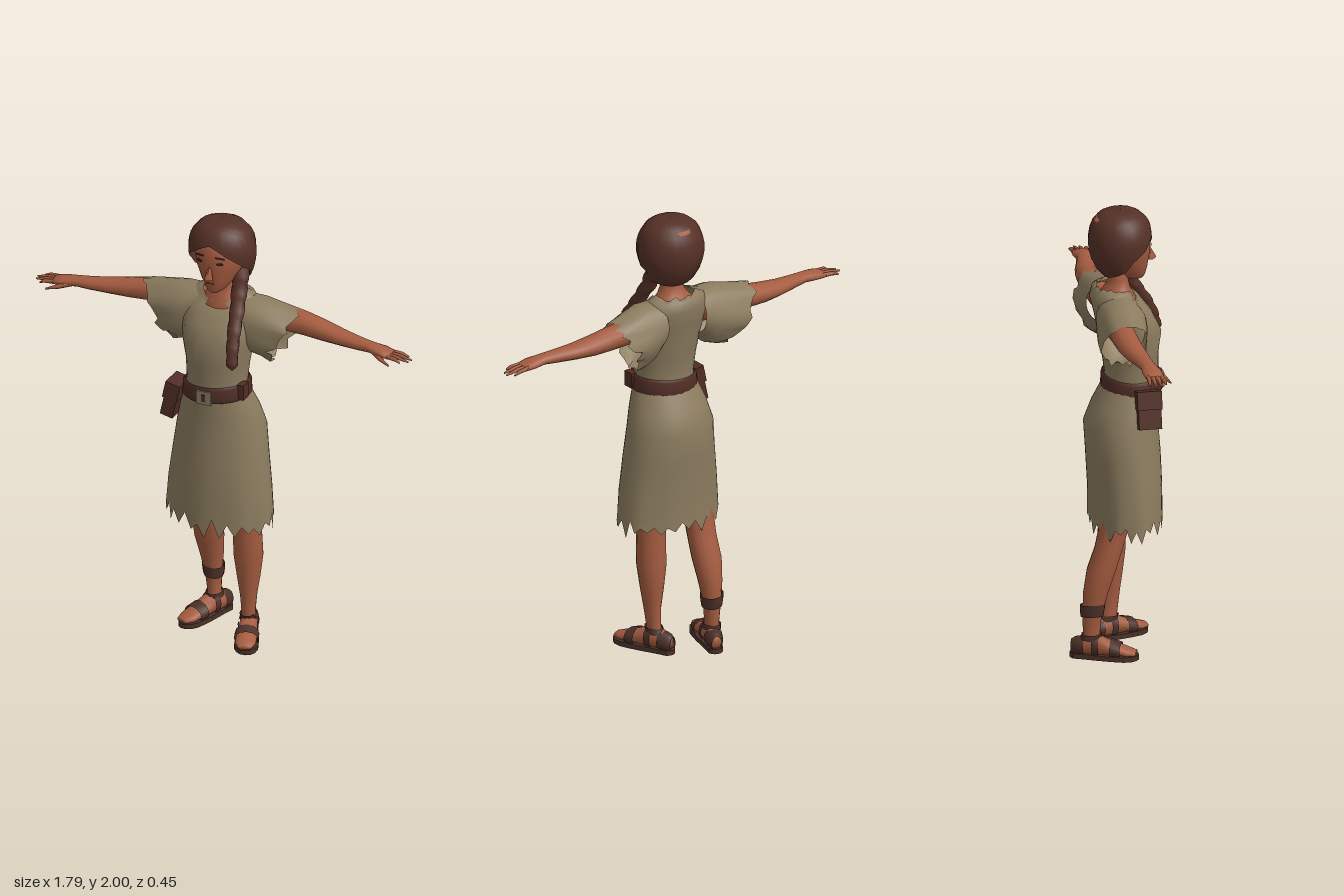
import * as THREE from 'three';

const mat = (name, color, side = THREE.FrontSide) => {
  const m = new THREE.MeshStandardMaterial({ color, side });
  m.name = name;
  return m;
};
const skin = mat('skin', 0xa55c40);
const cloth = mat('cloth', 0x8c7c5f, THREE.DoubleSide);
const hair = mat('hair', 0x553026, THREE.DoubleSide);
const leather = mat('leather', 0x512d25, THREE.DoubleSide);
const sandal = mat('sandal leather', 0x4b3029, THREE.DoubleSide);
const metal = mat('buckle metal', 0x857a66);
const dark = mat('eye dark', 0x35201a);
const lip = mat('lip', 0x85432f);

// Repeatable ragged-edge noise in -1..1
const rag = (j, k = 0) => {
  const s = Math.sin(j * 12.9898 + k * 78.233) * 43758.5453;
  return (s - Math.floor(s)) * 2 - 1;
};

// Skin a series of elliptical rings [x, y, z, ra, rb] stacked along an axis (0 x, 1 y, 2 z).
// ra and rb follow the next two axes in cyclic order; tweak moves single points.
function loft(rows, axis, { n = 14, cap = true, tweak } = {}) {
  const u = (axis + 1) % 3, v = (axis + 2) % 3, pos = [], idx = [];
  rows.forEach((r, i) => {
    for (let j = 0; j < n; j++) {
      const a = (j / n) * Math.PI * 2, p = r.slice(0, 3);
      p[u] += Math.cos(a) * r[3];
      p[v] += Math.sin(a) * r[4];
      if (tweak) tweak(p, i, a, j);
      pos.push(...p);
    }
  });
  const flip = rows[rows.length - 1][axis] < rows[0][axis];
  const tri = (a, b, c) => (flip ? idx.push(a, c, b) : idx.push(a, b, c));
  for (let i = 0; i < rows.length - 1; i++) {
    for (let j = 0; j < n; j++) {
      const k = (j + 1) % n, a = i * n + j, b = i * n + k;
      tri(a, b, b + n);
      tri(a, b + n, a + n);
    }
  }
  if (cap) {
    const c = rows.length * n, top = (rows.length - 1) * n;
    pos.push(...rows[0].slice(0, 3), ...rows[rows.length - 1].slice(0, 3));
    for (let j = 0; j < n; j++) {
      const k = (j + 1) % n;
      tri(c, k, j);
      tri(c + 1, top + j, top + k);
    }
  }
  const g = new THREE.BufferGeometry();
  g.setAttribute('position', new THREE.Float32BufferAttribute(pos, 3));
  g.setIndex(idx);
  g.computeVertexNormals();
  return g;
}

function add(parent, name, geo, material, p = [0, 0, 0], r = [0, 0, 0]) {
  const m = new THREE.Mesh(geo, material);
  m.name = name;
  m.position.set(...p);
  m.rotation.set(...r);
  parent.add(m);
  return m;
}

function buildHead(g) {
  add(g, 'neckAndChest', loft([[0, 1.5, 0.01, 0.09, 0.12], [0, 1.6, 0, 0.087, 0.11], [0, 1.65, 0.005, 0.055, 0.07],
    [0, 1.69, 0.01, 0.042, 0.05], [0, 1.8, 0.015, 0.042, 0.05]], 1), skin);
  add(g, 'face', loft([[0, 1.685, 0.085, 0.03, 0.022], [0, 1.7, 0.073, 0.053, 0.042], [0, 1.74, 0.05, 0.086, 0.072],
    [0, 1.8, 0.03, 0.115, 0.102], [0, 1.86, 0.02, 0.13, 0.117], [0, 1.92, 0.015, 0.124, 0.113],
    [0, 1.97, 0, 0.09, 0.07]], 1, { n: 20 }), skin);
  add(g, 'nose', new THREE.ConeGeometry(0.022, 0.075, 4), skin, [0, 1.803, 0.147], [-0.22, 0, 0]);
  add(g, 'mouth', new THREE.CircleGeometry(0.022, 10), lip, [0, 1.742, 0.1395], [0.3, 0, 0]).scale.y = 0.35;
  for (const s of [-1, 1]) {
    add(g, 'eye', new THREE.CircleGeometry(0.017, 8), dark, [s * 0.048, 1.845, 0.143], [0, s * 0.36, 0]).scale.y = 0.45;
    add(g, 'eyebrow', new THREE.BoxGeometry(0.042, 0.006, 0.004), hair, [s * 0.048, 1.872, 0.143], [0, s * 0.36, -s * 0.15]);
  }
  // Swept hair: a cap whose lower edge rises over the forehead
  const rows = Array.from({ length: 10 }, (_, i) => [0, 2 - i * 0.01, 0, 0, 0]);
  add(g, 'hairCap', loft(rows, 1, {
    n: 28, cap: false,
    tweak: (p, i, a, j) => {
      const back = (1 - Math.cos(a)) / 2;
      const end = 1.1 + 1.65 * Math.pow(back, 0.62);
      const phi = Math.max(0.001, (i / 9) * end), r = Math.pow(Math.sin(phi), 0.65);
      const ridge = 1 + 0.012 * Math.cos(j * Math.PI) * Math.min(1, i / 3);
      p[0] = Math.sin(a) * r * 0.15 * ridge;
      p[1] = 1.86 + 0.14 * Math.cos(phi) - (back > 0.5 && i > 7 ? 0.012 * (i - 7) : 0);
      p[2] = 0.018 + Math.cos(a) * r * 0.14 * ridge;
    },
  }), hair);
  // Braid over the left shoulder, swelling at every plait
  const path = new THREE.CatmullRomCurve3([[0.085, 1.78, 0.01], [0.095, 1.7, 0.045], [0.108, 1.62, 0.095],
    [0.12, 1.54, 0.15], [0.13, 1.46, 0.187], [0.137, 1.385, 0.205]].map(q => new THREE.Vector3(...q)));
  add(g, 'braid', loft(Array.from({ length: 19 }, (_, i) => {
    const t = i / 18, r = (i === 18 ? 0.006 : 0.042 - 0.016 * t) * (i % 3 === 0 ? 0.84 : 1);
    return [...path.getPoint(t).toArray(), r, r];
  }), 1, { n: 8 }), hair);
}

function buildClothes(g) {
  // Bodice with a scooped, torn neckline
  add(g, 'bodice', loft([[0, 1.18, 0.06, 0.12, 0.142], [0, 1.26, 0.067, 0.117, 0.135], [0, 1.35, 0.06, 0.122, 0.143],
    [0, 1.45, 0.055, 0.135, 0.16], [0, 1.53, 0.03, 0.125, 0.175], [0, 1.6, -0.005, 0.108, 0.175],
    [0, 1.645, -0.012, 0.092, 0.135], [0, 1.66, -0.005, 0.078, 0.095]], 1, {
    n: 28, cap: false,
    tweak: (p, i, a, j) => {
      const front = Math.max(0, Math.cos(a));
      if (i > 5) p[1] -= 0.05 * front * front + (i === 7 ? 0.012 * rag(j) : 0);
      if (i === 3) p[2] += 0.01 * front * Math.abs(Math.sin(2 * a));
    },
  }), cloth);
  // Skirt with soft folds and a ragged hem
  add(g, 'skirt', loft([[0, 0.585, 0.04, 0.158, 0.245], [0, 0.64, 0.04, 0.157, 0.243], [0, 0.75, 0.038, 0.158, 0.235],
    [0, 0.9, 0.03, 0.16, 0.216], [0, 1.03, 0.02, 0.16, 0.2], [0, 1.12, 0.037, 0.143, 0.178],
    [0, 1.21, 0.06, 0.12, 0.145]], 1, {
    n: 44, cap: false,
    tweak: (p, i, a, j) => {
      const fold = 1 + 0.018 * Math.cos(a * 9) * Math.max(0, 1 - i / 4);
      p[0] *= fold;
      p[2] = 0.04 + (p[2] - 0.04) * fold;
      if (i === 0) p[1] += (j % 2 ? 0.025 : -0.02) + 0.025 * rag(j);
    },
  }), cloth);
  // Loose torn sleeves: long over the arm, short underneath
  for (const s of [-1, 1]) {
    const reach = s > 0 ? 0.25 : 0.28;
    const rows = [[0, 1.545, -0.01, 0.1, 0.1], [0.33, 1.515, -0.008, 0.13, 0.11],
      [0.67, 1.497, -0.017, 0.127, 0.108], [1, 1.485, -0.025, 0.118, 0.1]];
    add(g, s > 0 ? 'leftSleeve' : 'rightSleeve', loft(rows.map(r => [s * r[0], ...r.slice(1)]), 0, {
      n: 30, cap: false,
      tweak: (p, i, a, j) => {
        const up = (1 + Math.cos(a)) / 2;
        const out = Math.abs(p[0]) * reach * (0.5 + 0.5 * up);
        p[0] = s * (0.1 + out + (i === 3 ? 0.024 * rag(j, s) : 0));
        if (i === 3) p[1] += (1 - up) * 0.025 * rag(j, 3 + s);
        p[2] += 0.006 * Math.cos(a * 6) * i / 3;
      },
    }), cloth);
  }
  // Belt, buckle and hip pouch
  const tilt = p => { p[1] += 0.09 * p[0]; };
  add(g, 'belt', loft([[0, 1.185, 0.067, 0.125, 0.145], [0, 1.195, 0.067, 0.134, 0.155], [0, 1.25, 0.068, 0.132, 0.152],
    [0, 1.26, 0.068, 0.122, 0.14]], 1, { n: 24, cap: false, tweak: tilt }), leather);
  add(g, 'beltEnd', new THREE.BoxGeometry(0.03, 0.07, 0.05), leather, [0.142, 1.242, 0.11]);
  add(g, 'buckle', new THREE.BoxGeometry(0.07, 0.062, 0.012), metal, [0, 1.217, 0.2]);
  add(g, 'beltTongue', new THREE.BoxGeometry(0.018, 0.034, 0.006), leather, [0, 1.217, 0.206]);
  add(g, 'pouch', new THREE.BoxGeometry(0.06, 0.16, 0.1), leather, [-0.186, 1.14, 0.105], [0, 0, -0.22]);
  add(g, 'pouchFlap', new THREE.BoxGeometry(0.07, 0.08, 0.108), leather, [-0.178, 1.185, 0.105], [0, 0, -0.22]);
}

function buildArm(g, s) {
  const side = q => [s * q[0], ...q.slice(1)];
  const arm = new THREE.Group();
  arm.name = s > 0 ? 'leftArm' : 'rightArm';
  g.add(arm);
  add(arm, 'armAndPalm', loft([[0.12, 1.56, -0.03, 0.06, 0.065], [0.25, 1.557, -0.04, 0.054, 0.058],
    [0.37, 1.55, -0.04, 0.051, 0.054], [0.46, 1.54, -0.034, 0.044, 0.052], [0.55, 1.533, -0.022, 0.034, 0.047],
    [0.64, 1.53, -0.008, 0.028, 0.036], [0.7, 1.53, 0, 0.023, 0.033], [0.76, 1.524, 0.005, 0.021, 0.043],
    [0.805, 1.518, 0.007, 0.014, 0.04]].map(side), 0, { n: 12 }), skin);
  // Four fingers fanned across the palm, then the thumb
  [0.87, 0.895, 0.89, 0.86].forEach((tip, i) => {
    const z = -0.021 + i * 0.0185;
    add(arm, 'finger', loft([[0.79, 1.52, z, 0.011, 0.0105], [0.84, 1.517, z * 1.15, 0.01, 0.009],
      [tip, 1.508, z * 1.3, 0.004, 0.004]].map(side), 0, { n: 6 }), skin);
  });
  add(arm, 'thumb', loft([[0.72, 1.522, 0.02, 0.014, 0.014], [0.77, 1.51, 0.05, 0.012, 0.011],
    [0.82, 1.498, 0.072, 0.004, 0.004]].map(side), 0, { n: 6 }), skin);
}

function buildLeg(g, s) {
  const leg = new THREE.Group();
  leg.name = s > 0 ? 'leftLeg' : 'rightLeg';
  g.add(leg);
  // The right leg trails behind
  const zs = s > 0 ? [-0.02, -0.01, -0.005, -0.003, 0, 0.005, 0.007, 0.02, 0.03]
    : [-0.13, -0.13, -0.128, -0.113, -0.088, -0.055, -0.03, 0.01, 0.03];
  const shape = [[0.108, 0.05, 0.04, 0.033], [0.111, 0.12, 0.038, 0.029], [0.114, 0.2, 0.043, 0.036],
    [0.115, 0.3, 0.055, 0.052], [0.115, 0.4, 0.064, 0.066], [0.113, 0.5, 0.062, 0.065],
    [0.112, 0.6, 0.066, 0.067], [0.11, 0.8, 0.08, 0.085], [0.09, 1.0, 0.09, 0.088]];
  add(leg, 'shinAndThigh', loft(shape.map(([x, y, rz, rx], i) => [s * x, y, zs[i], rz, rx]), 1), skin);

  // Splayed foot in a sandal
  const foot = new THREE.Group();
  foot.name = 'sandalledFoot';
  foot.position.set(s * 0.108, 0, zs[0]);
  foot.rotation.y = s * 0.36;
  leg.add(foot);
  const rows = [[0, 0.045, -0.078, 0.024, 0.03], [0, 0.058, -0.035, 0.036, 0.045], [0, 0.06, 0.03, 0.039, 0.048],
    [0, 0.045, 0.1, 0.045, 0.03], [0, 0.034, 0.16, 0.045, 0.019], [0, 0.03, 0.195, 0.03, 0.011]];
  add(foot, 'foot', loft(rows, 2, { n: 12 }), skin);
  const outline = new THREE.Shape();
  outline.moveTo(-0.032, 0.075);
  outline.quadraticCurveTo(0, 0.115, 0.032, 0.075);
  outline.bezierCurveTo(0.036, 0, 0.054, -0.06, 0.053, -0.15);
  outline.bezierCurveTo(0.045, -0.225, -0.035, -0.225, -0.05, -0.15);
  outline.bezierCurveTo(-0.052, -0.06, -0.036, 0, -0.032, 0.075);
  add(foot, 'sole', new THREE.ExtrudeGeometry(outline, { depth: 0.022, bevelEnabled: false, curveSegments: 6 }),
    sandal, [0, 0, 0], [-Math.PI / 2, 0, 0]);
  const band = (name, r) => add(foot, name, loft(r, 2, { n: 12, cap: false }), sandal);
  band('toeStrap', [[0, 0.045, 0.085, 0.053, 0.042], [0, 0.04, 0.13, 0.053, 0.033]]);
  band('instepStrap', [[0, 0.06, 0.005, 0.045, 0.056], [0, 0.058, 0.035, 0.046, 0.053]]);
  band('heelCup', [[0, 0.045, -0.088, 0.022, 0.034], [0, 0.05, -0.07, 0.034, 0.042], [0, 0.055, -0.03, 0.043, 0.044]]);
  add(leg, 'ankleStrap', loft([[s * 0.11, 0.085, zs[0], 0.047, 0.039], [s * 0.111, 0.11, zs[1], 0.045, 0.037]], 1,
    { n: 12, cap: false }), sandal);
  if (s < 0) {
    add(leg, 'shinWrap', loft([[-0.114, 0.19, -0.128, 0.05, 0.043], [-0.114, 0.215, -0.128, 0.054, 0.047],
      [-0.114, 0.245, -0.126, 0.056, 0.049]], 1, { n: 12, cap: false, tweak: p => { p[1] -= 0.15 * (p[0] + 0.114); } }), sandal);
  }
}

export function createModel() {
  const g = new THREE.Group();
  g.name = 'villager';
  buildHead(g);
  buildClothes(g);
  for (const s of [-1, 1]) {
    buildArm(g, s);
    buildLeg(g, s);
  }
  return g;
}
